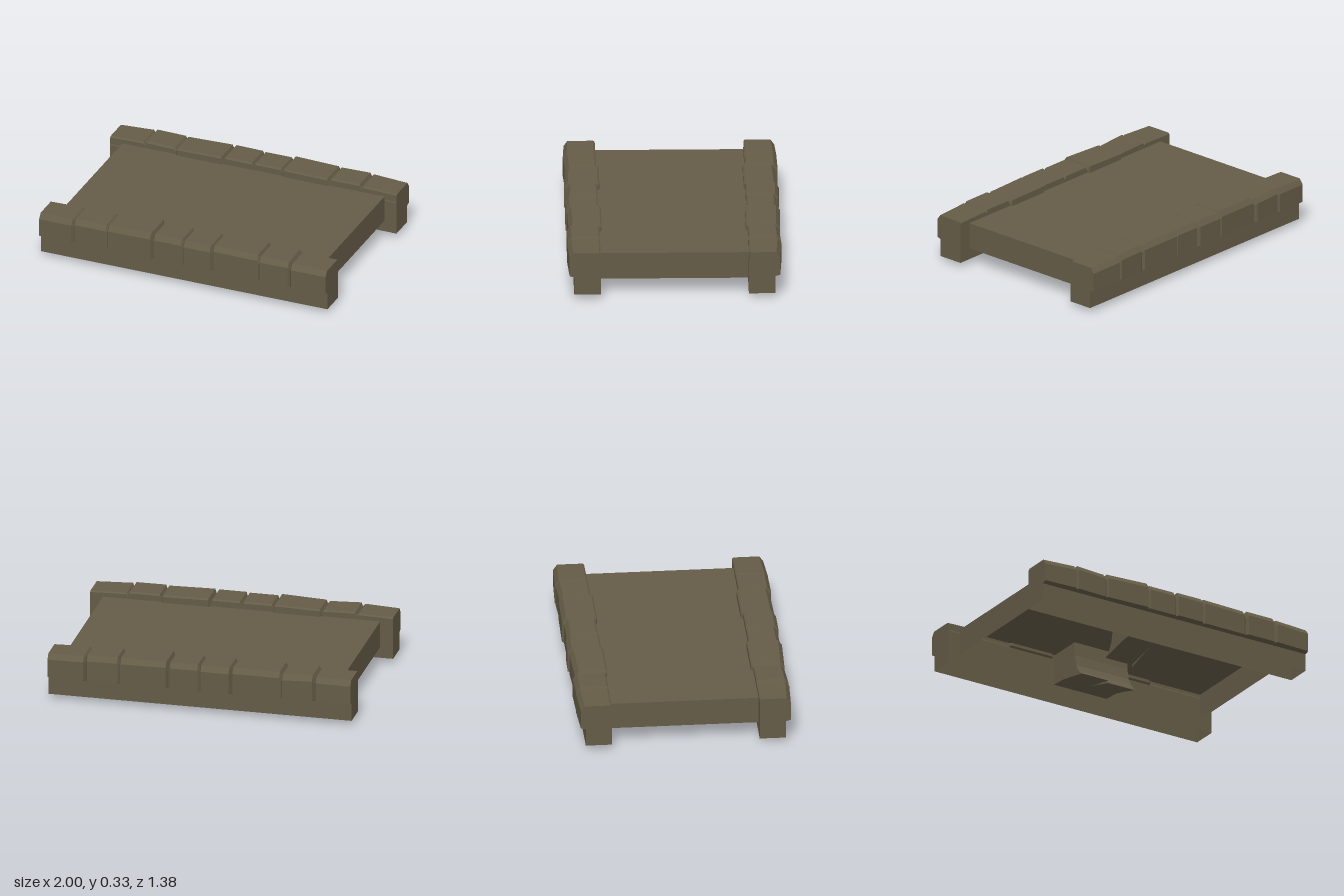
import * as THREE from 'three';

const stone = new THREE.MeshStandardMaterial({ color: 0x655c47, side: THREE.DoubleSide });
stone.name = 'weatheredStone';

// Cross-section of a parapet as [z, y], open underneath
const section = (top, inner, outer) => [
  [0.475, 0.03], [0.475, 0.25], [inner, 0.26], [inner, top - 0.008], [inner + 0.01, top],
  [outer - 0.025, top], [outer, top - 0.035], [outer, 0.157], [0.645, 0.147], [0.645, 0.03],
];

// Skins a row of sections along x and closes both ends
function loft(rings) {
  const pos = [];
  const point = (i, j) => [rings[i].x, rings[i].p[j][1], rings[i].p[j][0]];
  const tri = (a, b, c) => pos.push(...a, ...b, ...c);
  for (let i = 0; i < rings.length - 1; i++) {
    for (let j = 0; j < rings[i].p.length - 1; j++) {
      tri(point(i, j), point(i, j + 1), point(i + 1, j));
      tri(point(i + 1, j), point(i, j + 1), point(i + 1, j + 1));
    }
  }
  for (const i of [0, rings.length - 1]) {
    const outline = rings[i].p.map(([z, y]) => new THREE.Vector2(z, y));
    for (const [a, b, c] of THREE.ShapeUtils.triangulateShape(outline, [])) {
      if (i === 0) tri(point(i, a), point(i, c), point(i, b));
      else tri(point(i, a), point(i, b), point(i, c));
    }
  }
  const g = new THREE.BufferGeometry();
  g.setAttribute('position', new THREE.Float32BufferAttribute(pos, 3));
  g.computeVertexNormals();
  return g;
}

// Parapet of uneven blocks: [x0, x1, top at x0, top at x1, inner z, outer z at x0, outer z at x1]
function parapet(blocks) {
  const joint = section(0.305, 0.475, 0.668);
  const rings = [];
  for (const [x0, x1, t0, t1, inner, o0, o1] of blocks) {
    const b = 0.012;
    if (x0 > -1) rings.push({ x: x0, p: joint });
    rings.push({ x: x0 > -1 ? x0 + b : x0, p: section(t0, inner, o0) });
    rings.push({ x: x1 < 1 ? x1 - b : x1, p: section(t1, inner, o1) });
  }
  return loft(rings);
}

const frontBlocks = [
  [-1, -0.76, 0.312, 0.318, 0.475, 0.675, 0.685],
  [-0.76, -0.53, 0.326, 0.32, 0.475, 0.683, 0.674],
  [-0.53, -0.21, 0.326, 0.333, 0.46, 0.677, 0.687],
  [-0.21, 0, 0.327, 0.327, 0.475, 0.676, 0.676],
  [0, 0.205, 0.327, 0.327, 0.475, 0.685, 0.685],
  [0.205, 0.53, 0.333, 0.328, 0.46, 0.676, 0.672],
  [0.53, 0.75, 0.327, 0.327, 0.475, 0.685, 0.683],
  [0.75, 1, 0.319, 0.312, 0.475, 0.686, 0.675],
];
const backBlocks = [
  [-1, -0.76, 0.312, 0.318, 0.478, 0.677, 0.688],
  [-0.76, -0.54, 0.326, 0.32, 0.478, 0.686, 0.69],
  [-0.54, -0.21, 0.326, 0.33, 0.465, 0.674, 0.682],
  [-0.21, 0, 0.327, 0.327, 0.475, 0.69, 0.686],
  [0, 0.205, 0.327, 0.327, 0.478, 0.678, 0.678],
  [0.205, 0.53, 0.333, 0.328, 0.465, 0.69, 0.684],
  [0.53, 0.75, 0.327, 0.327, 0.478, 0.678, 0.685],
  [0.75, 1, 0.319, 0.312, 0.478, 0.688, 0.677],
];

// Half of a broken arch, reaching inward from the parapet; lift raises its tip
function archHalf(lift) {
  const outline = [
    [0.475, 0.07], [0.36, 0.062], [0.28, 0.042 + lift * 0.3], [0.14, lift],
    [0.145, 0.012 + lift * 0.6], [0.18, 0.05], [0.21, 0.105], [0.225, 0.18], [0.23, 0.274], [0.475, 0.274],
  ];
  const shape = new THREE.Shape(outline.map(([z, y]) => new THREE.Vector2(-z, y)));
  const g = new THREE.ExtrudeGeometry(shape, { depth: 0.2, bevelEnabled: false });
  return g.rotateY(Math.PI / 2);
}

export function createModel() {
  const model = new THREE.Group();
  model.name = 'bridgeSegment';
  const add = (name, geometry, parent = model) => {
    const m = new THREE.Mesh(geometry, stone);
    m.name = name;
    parent.add(m);
    return m;
  };

  // Deck: a top slab face with an apron at each open end
  add('deckTop', new THREE.PlaneGeometry(1.83, 0.96).rotateX(-Math.PI / 2)).position.y = 0.28;
  for (const s of [1, -1]) {
    const apron = add(s > 0 ? 'leftDeckApron' : 'rightDeckApron',
      new THREE.PlaneGeometry(0.96, 0.175).rotateY(s * Math.PI / 2));
    apron.position.set(s * 0.915, 0.1925, 0);
  }

  // Parapets
  add('frontParapet', parapet(frontBlocks));
  add('backParapet', parapet(backBlocks)).scale.z = -1;

  // Broken arch stubs below the deck
  for (const s of [1, -1]) {
    const stub = new THREE.Group();
    stub.name = s > 0 ? 'frontArchStub' : 'backArchStub';
    stub.scale.z = s;
    add('lowArchHalf', archHalf(0), stub);
    add('highArchHalf', archHalf(0.018), stub).position.x = -0.2;
    model.add(stub);
  }
  return model;
}
